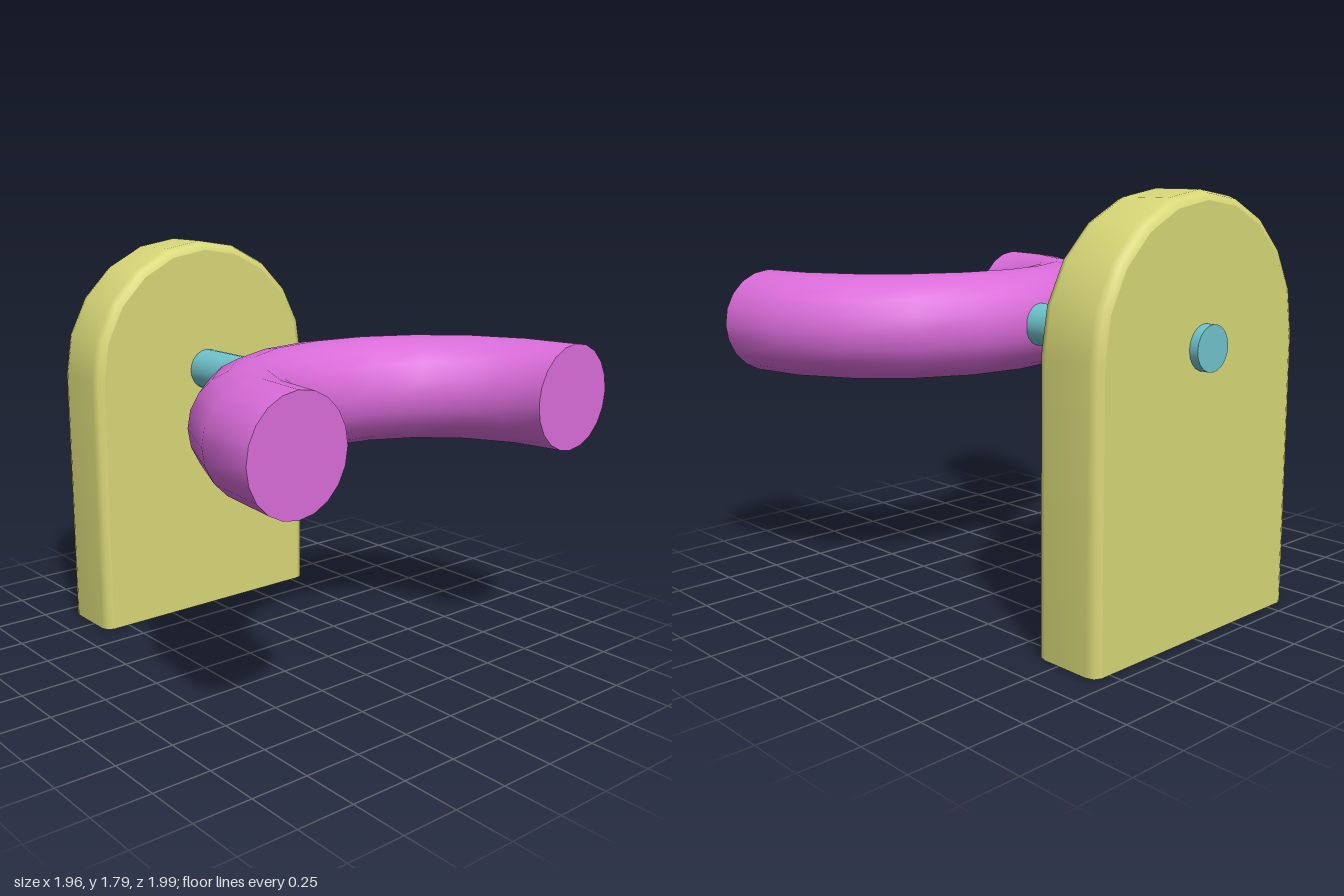
import * as THREE from 'three';

const material = (color, side = THREE.FrontSide) => new THREE.MeshStandardMaterial({ color, side });

function addMesh(parent, name, geometry, mat) {
  const mesh = new THREE.Mesh(geometry, mat);
  mesh.name = name;
  parent.add(mesh);
  return mesh;
}

// Arched outline in (z, y): straight sides with a half-round top
function archOutline(radius, springY, segments = 10) {
  const points = [new THREE.Vector2(radius, 0)];
  for (let i = 0; i <= segments; i++) {
    const t = (i / segments) * Math.PI;
    points.push(new THREE.Vector2(radius * Math.cos(t), springY + radius * Math.sin(t)));
  }
  points.push(new THREE.Vector2(-radius, 0));
  return points;
}

// Softly bevelled rim joining the two faces, open along the bottom
function rimGeometry(rings, radius, springY) {
  const positions = [], indices = [];
  for (const [x, inset] of rings) {
    for (const p of archOutline(radius - inset, springY)) positions.push(x, p.y, p.x);
  }
  const n = positions.length / 3 / rings.length;
  for (let r = 0; r < rings.length - 1; r++) {
    for (let i = 0; i < n - 1; i++) {
      const a = r * n + i, b = a + n;
      indices.push(a, b, a + 1, b, b + 1, a + 1);
    }
  }
  const geometry = new THREE.BufferGeometry();
  geometry.setAttribute('position', new THREE.Float32BufferAttribute(positions, 3));
  geometry.setIndex(indices);
  geometry.computeVertexNormals();
  return geometry;
}

export function createModel() {
  const model = new THREE.Group();
  const yellow = material(0xd8d878, THREE.DoubleSide);
  const teal = material(0x70c4cc);
  const pink = material(0xda6cda);
  const axisY = 1.19;

  // Arched plate, hollow with an open base
  const plate = new THREE.Group();
  plate.name = 'archedPlate';
  plate.position.set(-0.785, 0, 0.018);
  model.add(plate);
  const half = 0.155, radius = 0.603, inset = 0.04;
  const rings = [
    [-half, inset], [-half + 0.013, 0.012], [-half + 0.045, 0],
    [half - 0.045, 0], [half - 0.013, 0.012], [half, inset],
  ];
  addMesh(plate, 'plateRim', rimGeometry(rings, radius, axisY), yellow);
  const face = new THREE.Shape(archOutline(radius - inset, axisY));
  for (const side of [-1, 1]) {
    const geometry = new THREE.ShapeGeometry(face).rotateY(side * Math.PI / 2);
    addMesh(plate, side < 0 ? 'plateBack' : 'plateFront', geometry, yellow).position.x = side * half;
  }

  // Rod through the plate, ending inside the curved tube
  const rodStart = -0.98, rodEnd = 0.08;
  const rod = new THREE.CylinderGeometry(0.094, 0.094, rodEnd - rodStart, 20).rotateZ(-Math.PI / 2);
  addMesh(model, 'rod', rod, teal).position.set((rodStart + rodEnd) / 2, axisY, 0.018);

  // Half-ring tube opening away from the plate, turned very slightly
  const fork = new THREE.Group();
  fork.name = 'curvedFork';
  fork.position.set(0.947, axisY, -0.002);
  fork.rotation.y = 0.03;
  model.add(fork);
  const ringRadius = 0.768, tubeRadius = 0.229;
  const tube = new THREE.TorusGeometry(ringRadius, tubeRadius, 20, 10, Math.PI)
    .rotateZ(Math.PI / 2).rotateX(Math.PI / 2);
  addMesh(fork, 'forkTube', tube, pink);

  // Flat ends of the tube
  for (const side of [-1, 1]) {
    const cap = new THREE.CircleGeometry(tubeRadius, 20).rotateY(Math.PI / 2);
    addMesh(fork, side < 0 ? 'rightEndCap' : 'leftEndCap', cap, pink).position.z = side * ringRadius;
  }

  return model;
}
